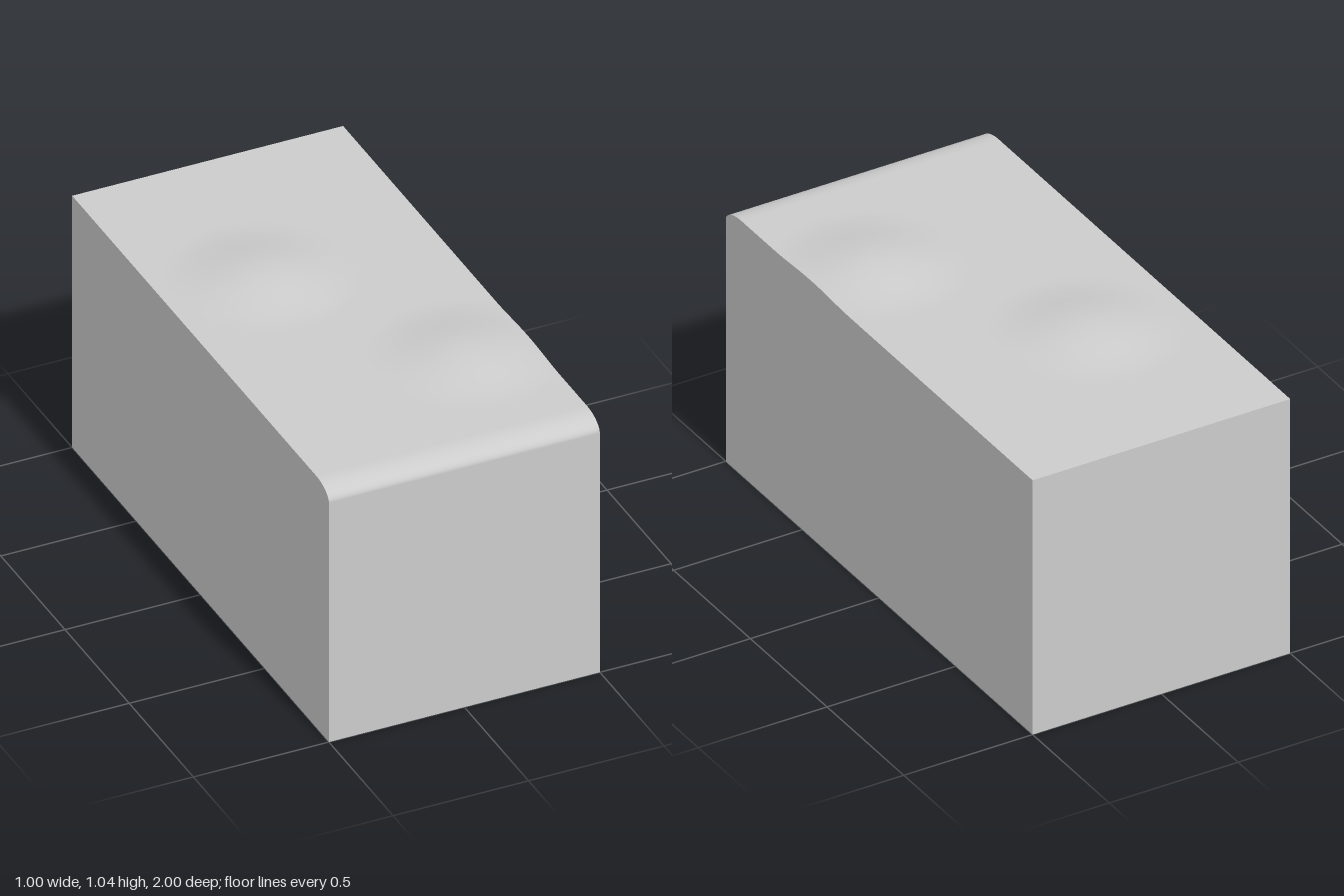
import * as THREE from 'three';

const HALF_W = 0.5, HALF_L = 1;
const EDGE_Z = 0.1, EDGE_Y = 0.05; // size of the rounded front edge
const BUMPS = [[0.27, 0.44], [-0.14, -0.28]]; // x, z of each swell
const BUMP_R = 0.34, BUMP_H = 0.038;

function bumpHeight(x, z) {
  let h = 0;
  for (const [bx, bz] of BUMPS) {
    const d = Math.hypot(x - bx, z - bz) / BUMP_R;
    if (d < 1) h += BUMP_H * Math.cos(d * Math.PI / 2) ** 2;
  }
  return h;
}

// Profile running up the rounded front edge, then back along the top
function topProfile() {
  const points = [];
  const arcSteps = 12, topSteps = 96;
  for (let i = 0; i <= arcSteps; i++) {
    const a = (i / arcSteps) * Math.PI / 2;
    points.push([HALF_L - EDGE_Z * (1 - Math.cos(a)), 1 - EDGE_Y * (1 - Math.sin(a))]);
  }
  for (let i = 1; i <= topSteps; i++) {
    points.push([HALF_L - EDGE_Z - (i / topSteps) * (2 * HALF_L - EDGE_Z), 1]);
  }
  return points;
}

// Grid surface whose points come from place(column, row)
function gridSurface(columns, rows, place) {
  const geometry = new THREE.PlaneGeometry(1, 1, columns, rows);
  const position = geometry.attributes.position;
  for (let r = 0; r <= rows; r++) {
    for (let c = 0; c <= columns; c++) {
      position.setXYZ(r * (columns + 1) + c, ...place(c, r));
    }
  }
  geometry.computeVertexNormals();
  return geometry;
}

export function createModel() {
  const group = new THREE.Group();
  group.name = 'block';
  const material = new THREE.MeshStandardMaterial({ color: 0xcccccc });
  const add = (name, geometry) => {
    const mesh = new THREE.Mesh(geometry, material);
    mesh.name = name;
    group.add(mesh);
    return mesh;
  };

  const profile = topProfile();

  // Front face, rounded edge and uneven top as one smooth skin
  const skin = [];
  for (let i = 0; i < 8; i++) skin.push([HALF_L, (i / 8) * (1 - EDGE_Y)]);
  skin.push(...profile);
  const columns = 48, rows = skin.length - 1;
  add('frontAndTop', gridSurface(columns, rows, (c, r) => {
    const x = -HALF_W + (c / columns) * 2 * HALF_W;
    const [z, y] = skin[rows - r];
    return [x, y + bumpHeight(x, z), z];
  }));

  // Side walls follow the outline of the top
  const last = profile.length - 1;
  for (const side of [1, -1]) {
    add(side > 0 ? 'leftSide' : 'rightSide', gridSurface(last, 1, (c, r) => {
      const [z, y] = profile[side > 0 ? c : last - c];
      const x = side * HALF_W;
      return [x, r === 0 ? y + bumpHeight(x, z) : 0, z];
    }));
  }

  // Flat back and underside
  const back = add('back', new THREE.PlaneGeometry(2 * HALF_W, 1));
  back.rotation.y = Math.PI;
  back.position.set(0, 0.5, -HALF_L);
  const underside = add('underside', new THREE.PlaneGeometry(2 * HALF_W, 2 * HALF_L));
  underside.rotation.x = Math.PI / 2;

  return group;
}
